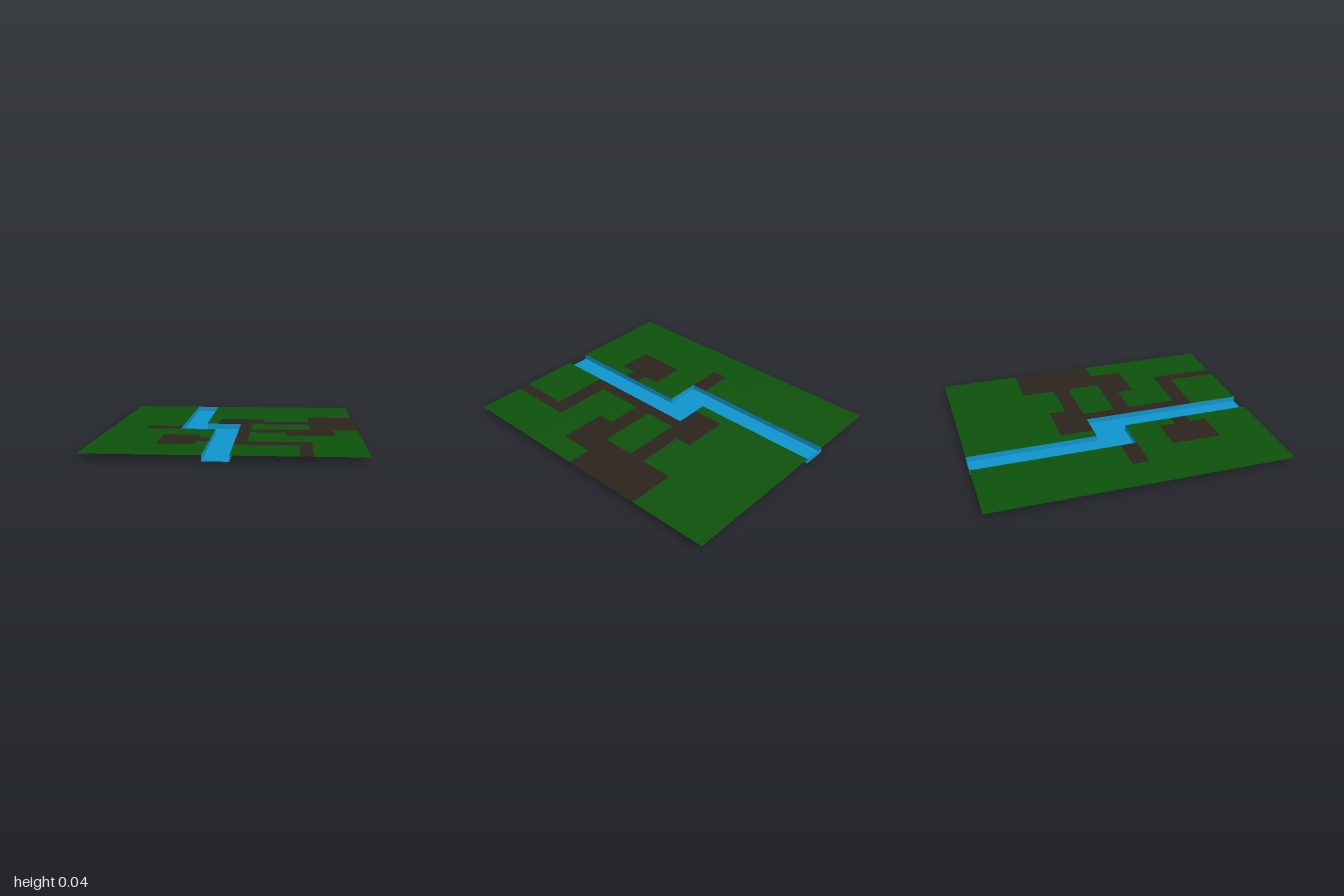
import * as THREE from 'three';
import { mergeGeometries } from 'three/addons/utils/BufferGeometryUtils.js';

const TOP = 0.036;          // height of the land sheet above the river bed
const CX = 0.08, CZ = 0.1125; // tile size

// Bare-earth areas: [x0, x1, z0, z1]
const DIRT = [
  [-0.12, 0.2, -0.35, -0.125],      // yard by the river bend
  [0.2, 0.52, -0.2375, -0.125],     // path to the big yard
  [0.52, 0.84, -0.4625, 0.1],       // big yard
  [0.04, 0.12, -0.125, 0.6625],     // riverside path
  [0.12, 0.68, 0.1, 0.2125],        // middle path
  [0.36, 0.68, 0.2125, 0.325],      // small yard
  [0.12, 0.52, 0.55, 0.6625],       // front path
  [0.44, 0.52, 0.6625, 1],          // path to the front edge
  [-0.6, -0.36, -0.0125, 0.1],      // far bank landing
  [-0.44, -0.2, 0.325, 0.6625],     // far bank yard
  [-0.2, -0.12, 0.4375, 0.55],      // far bank path
];

const RIVER = [
  [-0.36, -0.2, -1, 0.1],
  [-0.2, 0.04, -0.125, 0.1],
  [-0.12, 0.04, 0.1, 1],
];

// River outline, from the front end round the back end to the front again
const BANKS = [
  [-0.12, 1], [-0.12, 0.1], [-0.36, 0.1], [-0.36, -1],
  [-0.2, -1], [-0.2, -0.125], [0.04, -0.125], [0.04, 1],
];

const inside = (rects, x, z) =>
  rects.some(([x0, x1, z0, z1]) => x > x0 && x < x1 && z > z0 && z < z1);

const paint = (color) =>
  new THREE.MeshStandardMaterial({ color, side: THREE.DoubleSide });

function addMesh(group, name, geometry, material) {
  const mesh = new THREE.Mesh(geometry, material);
  mesh.name = name;
  group.add(mesh);
}

// Flat rectangle facing up
function tile(x0, x1, z0, z1) {
  return new THREE.PlaneGeometry(x1 - x0, z1 - z0)
    .rotateX(-Math.PI / 2)
    .translate((x0 + x1) / 2, TOP, (z0 + z1) / 2);
}

export function createModel() {
  const model = new THREE.Group();
  model.name = 'riverLand';

  // Land sheet: tiles sorted into grass and dirt, left open over the river
  const grass = [], dirt = [];
  for (let row = 0; row < 18; row++) {
    const z1 = 1 - row * CZ, z0 = Math.max(-1, z1 - CZ);
    for (let col = 0; col < 21; col++) {
      const x0 = -0.84 + col * CX, x1 = x0 + CX;
      const x = (x0 + x1) / 2, z = (z0 + z1) / 2;
      if (inside(RIVER, x, z)) continue;
      (inside(DIRT, x, z) ? dirt : grass).push(tile(x0, x1, z0, z1));
    }
  }
  addMesh(model, 'grass', mergeGeometries(grass), paint(0x0e520c));
  addMesh(model, 'dirtPaths', mergeGeometries(dirt), paint(0x2a241c));

  // Sunken river: bed, banks and closed back end; the front end is open
  const water = paint(0x0f95cf);
  const outline = new THREE.Shape(BANKS.map(([x, z]) => new THREE.Vector2(x, -z)));
  addMesh(model, 'riverBed', new THREE.ShapeGeometry(outline).rotateX(-Math.PI / 2), water);

  const walls = [];
  for (let i = 0; i < BANKS.length - 1; i++) {
    const [ax, az] = BANKS[i], [bx, bz] = BANKS[i + 1];
    walls.push(new THREE.PlaneGeometry(Math.hypot(bx - ax, bz - az), TOP)
      .rotateY(Math.atan2(az - bz, bx - ax))
      .translate((ax + bx) / 2, TOP / 2, (az + bz) / 2));
  }
  addMesh(model, 'riverBanks', mergeGeometries(walls), water);

  return model;
}
